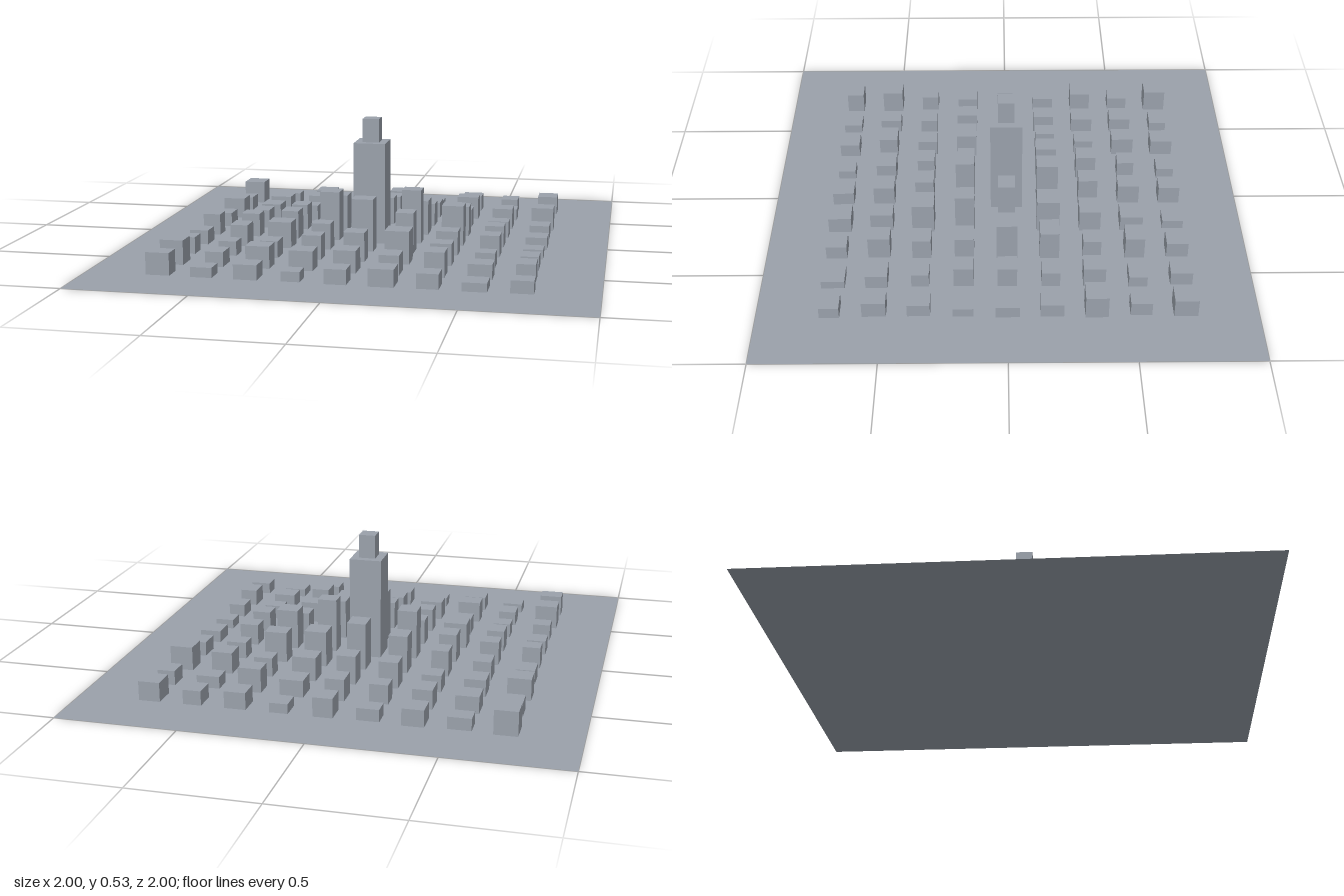
import * as THREE from 'three';

const SPACING = 0.177;

export function createModel() {
  const model = new THREE.Group();
  model.name = 'cityBlock';
  const concrete = new THREE.MeshStandardMaterial({ color: 0x9aa1ab, side: THREE.DoubleSide });
  concrete.name = 'blueGreyConcrete';

  // Box standing on height y
  function addBlock(parent, name, w, h, d, x, y, z) {
    const mesh = new THREE.Mesh(new THREE.BoxGeometry(w, h, d), concrete);
    mesh.name = name;
    mesh.position.set(x, y + h / 2, z);
    parent.add(mesh);
  }

  // Ground sheet
  const ground = new THREE.Mesh(new THREE.PlaneGeometry(2, 2), concrete);
  ground.name = 'ground';
  ground.rotation.x = -Math.PI / 2;
  model.add(ground);

  // Central tower with its rooftop block
  const tower = new THREE.Group();
  tower.name = 'centralTower';
  addBlock(tower, 'towerShaft', 0.135, 0.43, 0.135, 0, 0, 0);
  addBlock(tower, 'towerTop', 0.07, 0.1, 0.07, 0, 0.43, 0);
  model.add(tower);

  // One street of buildings; sizes in hundredths, left out where zero
  function addStreet(row, heights, widths, depths) {
    const street = new THREE.Group();
    street.name = `street${row + 5}`;
    heights.forEach((h, i) => {
      if (h === 0) return;
      addBlock(street, `building${i + 1}`, widths[i] / 100, h / 100, depths[i] / 100,
        (i - 4) * SPACING, 0, row * SPACING);
    });
    model.add(street);
  }

  // Streets from back to front: heights, widths, depths
  addStreet(-4, [10, 5, 7, 5, 8, 4, 7, 6, 8],
    [9.4, 9.4, 8.8, 9, 8, 7.5, 8.8, 7.5, 8.8], [9.6, 7.5, 9.6, 7.5, 9, 8.8, 9, 9, 9.6]);
  addStreet(-3, [6, 7, 8, 8, 9, 7, 10, 5, 6],
    [7.5, 9.4, 8.2, 7.8, 8, 9.8, 9.6, 9.6, 7.3], [8.8, 9.4, 9.6, 7.2, 9.2, 9.6, 8, 7.5, 8.6]);
  addStreet(-2, [9, 7, 7, 11, 12, 10, 8, 9, 10],
    [9.6, 8.8, 8, 8, 8, 10, 7.8, 8.8, 9.6], [9, 9.4, 8.2, 8.6, 8.2, 9, 7.5, 9, 9.2]);
  addStreet(-1, [6, 8, 11, 16, 20, 15, 13, 7, 6],
    [8, 7.5, 7.2, 8, 8, 9.4, 9.6, 8.6, 8.4], [9.4, 9.2, 8.4, 9, 9.2, 9.6, 8, 7.5, 9.4]);
  addStreet(0, [9, 10, 12, 21, 0, 23, 17, 9, 5],
    [7.5, 8, 7.5, 8.4, 0, 8.2, 9.2, 8, 9], [7.2, 7.5, 9, 8.6, 0, 7.2, 8.6, 8, 9.8]);
  addStreet(1, [6, 9, 11, 11, 22, 17, 10, 9, 4],
    [8, 7.5, 10, 8, 9, 7.5, 9, 8, 8], [8.8, 9, 8.8, 7.5, 8, 8.2, 8, 8.2, 8.2]);
  addStreet(2, [7, 6, 7, 10, 12, 13.5, 9, 6, 5.5],
    [7.5, 7.5, 7.5, 8, 8.6, 10, 8.6, 8, 7.2], [7.5, 7.5, 8.6, 7.5, 8, 9.4, 7.8, 7.2, 9.2]);
  addStreet(3, [10, 6, 9, 8, 9, 8, 10, 6, 7],
    [9.6, 7.5, 9.8, 9.8, 9, 8, 8, 9.6, 7.5], [9, 9.2, 8, 8.6, 9, 9.6, 9.2, 9, 9.6]);
  addStreet(4, [9, 4, 6, 4, 6, 7, 6, 3.5, 5],
    [9.6, 8.6, 9.4, 7.5, 8.6, 10, 8.6, 9.6, 8.8], [7.5, 8, 8.6, 7.5, 9, 9.6, 8.6, 9.6, 8]);

  return model;
}
